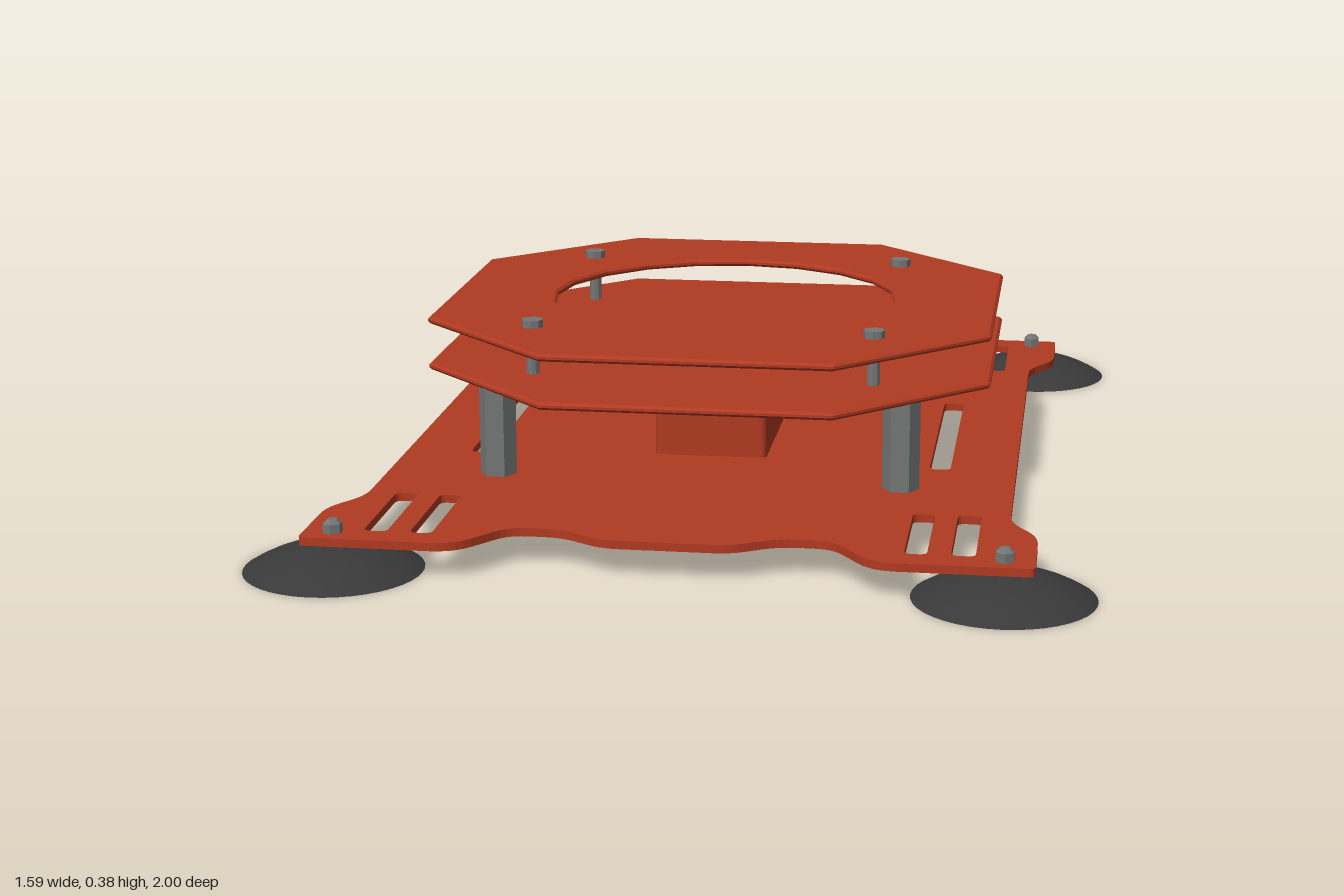
import * as THREE from 'three';

const mat = (name, color, opts = {}) => {
  const m = new THREE.MeshStandardMaterial({ color, ...opts });
  m.name = name;
  return m;
};

// Closed path through corner points [x, y, radius], each corner rounded
function roundedPath(points, path) {
  const n = points.length;
  const v = points.map(p => new THREE.Vector2(p[0], p[1]));
  for (let i = 0; i < n; i++) {
    const c = v[i], r = points[i][2] ?? 0;
    const toward = q => q.clone().sub(c).setLength(r).add(c);
    const a = toward(v[(i + n - 1) % n]), b = toward(v[(i + 1) % n]);
    if (i === 0) path.moveTo(a.x, a.y); else path.lineTo(a.x, a.y);
    if (r > 0) path.quadraticCurveTo(c.x, c.y, b.x, b.y);
  }
  path.closePath();
  return path;
}

// Repeats a quarter outline around both axes
function mirrorQuarter(q) {
  const rev = [...q].reverse();
  return [
    ...q,
    ...rev.map(([x, y, r]) => [-x, y, r]),
    ...q.map(([x, y, r]) => [-x, -y, r]),
    ...rev.map(([x, y, r]) => [x, -y, r]),
  ];
}

const slot = (x, z, w, l, r) => roundedPath([
  [x - w / 2, z - l / 2, r], [x + w / 2, z - l / 2, r],
  [x + w / 2, z + l / 2, r], [x - w / 2, z + l / 2, r],
], new THREE.Path());

// Lays a shape flat between heights y0 and y1
function slab(shape, y0, y1, bevel = 0) {
  const g = new THREE.ExtrudeGeometry(shape, {
    depth: y1 - y0 - 2 * bevel, curveSegments: 5,
    bevelEnabled: bevel > 0, bevelSize: bevel, bevelThickness: bevel,
    bevelOffset: -bevel, bevelSegments: 1,
  });
  g.rotateX(-Math.PI / 2);
  g.translate(0, y0 + bevel, 0);
  return g;
}

export function createModel() {
  const model = new THREE.Group();
  model.name = 'mountingPlatform';
  const red = mat('redPlate', 0xb03a22);
  const steel = mat('steel', 0x747676, { flatShading: true });
  const rubber = mat('darkRubber', 0x393939);

  const add = (name, geo, material, x = 0, y = 0, z = 0) => {
    const m = new THREE.Mesh(geo, material);
    m.name = name;
    m.position.set(x, y, z);
    model.add(m);
  };
  const corners = (x, z, fn) => {
    for (const sx of [1, -1]) for (const sz of [1, -1]) fn(sx * x, sz * z);
  };
  const prism = (r0, r1, h, sides) => new THREE.CylinderGeometry(r1, r0, h, sides);

  // Base plate with flared ends, corner slots and long side slots
  const base = roundedPath(mirrorQuarter([
    [0.625, 0.595, 0.04], [0.68, 0.68, 0.04], [0.68, 0.87, 0.012],
    [0.385, 0.87, 0.045], [0.305, 0.757, 0.035], [0.205, 0.757, 0.035], [0.12, 0.81, 0.03],
  ]), new THREE.Shape());
  corners(0.461, 0.69, (x, z) => base.holes.push(slot(x, z, 0.042, 0.245, 0.015)));
  corners(0.548, 0.69, (x, z) => base.holes.push(slot(x, z, 0.045, 0.245, 0.015)));
  for (const s of [1, -1]) base.holes.push(slot(s * 0.472, 0, 0.042, 0.52, 0.015));
  add('basePlate', slab(base, 0.055, 0.071), red);

  // Central block
  const block = roundedPath(mirrorQuarter([[0.115, 0.225, 0.015]]), new THREE.Shape());
  add('centerBlock', slab(block, 0.071, 0.25), red);

  // Octagonal plates: solid below, ring above
  const octagon = () => roundedPath(mirrorQuarter([[0.57, 0.285], [0.285, 0.57]]), new THREE.Shape());
  add('lowerOctagon', slab(octagon(), 0.249, 0.264, 0.005), red);
  const ring = octagon();
  const hole = Array.from({ length: 20 }, (_, i) => {
    const a = i / 20 * Math.PI * 2;
    return [0.357 * Math.cos(a), 0.357 * Math.sin(a)];
  });
  ring.holes.push(roundedPath(hole, new THREE.Path()));
  add('upperOctagonRing', slab(ring, 0.345, 0.36, 0.005), red);

  // Hexagonal standoffs between the base and lower octagon
  const post = prism(0.037, 0.037, 0.18, 6);
  post.rotateY(Math.PI / 6);
  corners(0.403, 0.4, (x, z) => add('standoff', post, steel, x, 0.16, z));

  // Screws joining the octagons
  const shank = prism(0.013, 0.013, 0.1, 10);
  const head = prism(0.022, 0.022, 0.016, 8);
  corners(0.342, 0.342, (x, z) => {
    add('screwShank', shank, steel, x, 0.308, z);
    add('screwHead', head, steel, x, 0.367, z);
  });

  // Domed feet with their bolts
  const R = 0.314;
  const profile = [new THREE.Vector2(0, 0)];
  for (let i = 0; i <= 8; i++) {
    const a = Math.asin(0.17 / R) * (1 - i / 8);
    profile.push(new THREE.Vector2(R * Math.sin(a), R * Math.cos(a) - R + 0.05));
  }
  const dome = new THREE.LatheGeometry(profile.slice(1), 40);
  const sole = new THREE.CircleGeometry(0.17, 40);
  sole.rotateX(Math.PI / 2);
  const stud = prism(0.012, 0.012, 0.05, 10);
  const nut = prism(0.019, 0.019, 0.018, 6);
  const cap = prism(0.018, 0.01, 0.008, 6);
  corners(0.624, 0.829, (x, z) => {
    add('footDome', dome, rubber, x, 0, z);
    add('footSole', sole, rubber, x, 0, z);
    add('footStud', stud, steel, x, 0.055, z);
    add('footNut', nut, steel, x, 0.08, z);
    add('footNutCap', cap, steel, x, 0.093, z);
  });

  return model;
}
